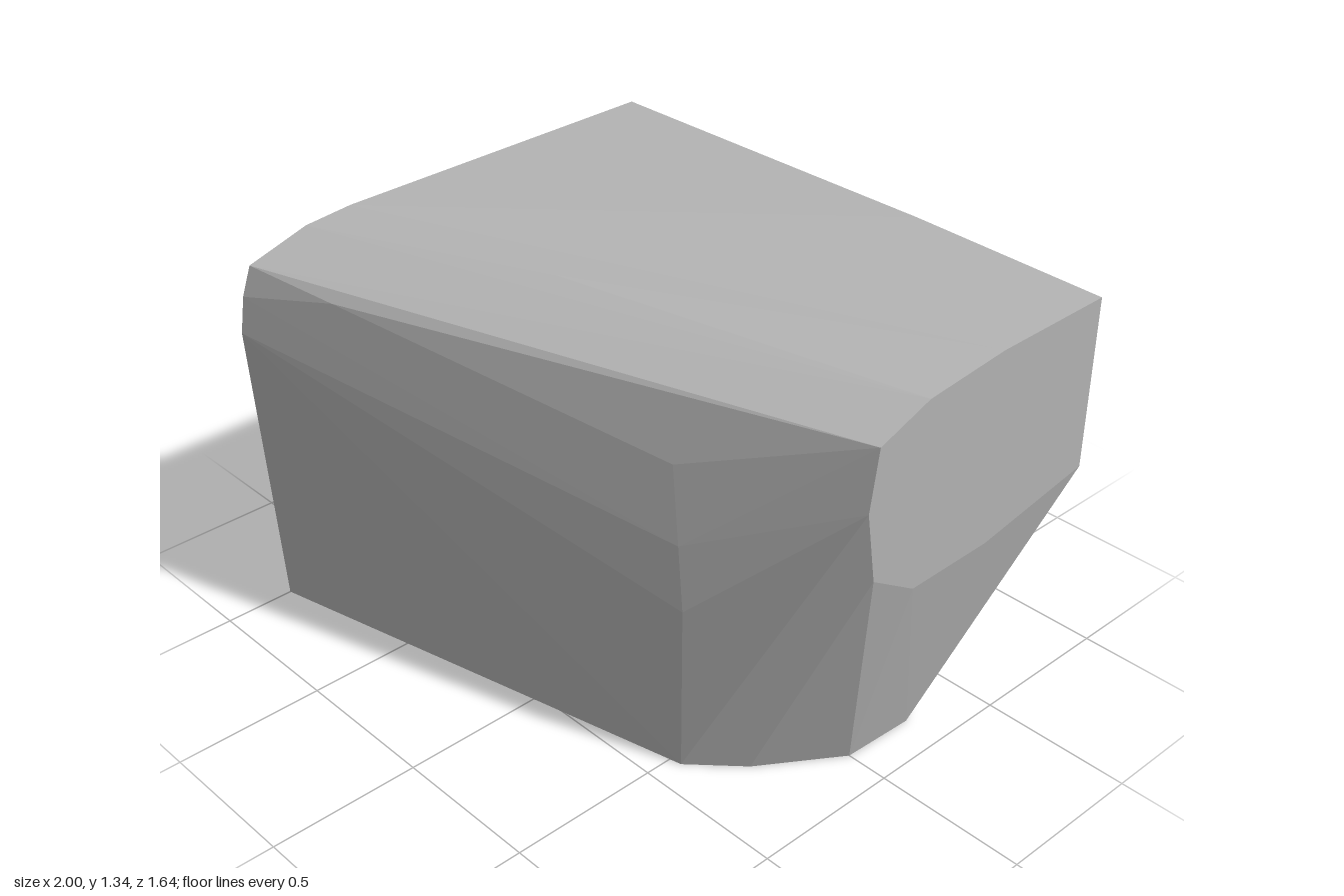
import * as THREE from 'three';
import { ConvexGeometry } from 'three/addons/geometries/ConvexGeometry.js';

// A faceted rock block, cut flat on its base, back and both ends.
export function createModel() {
  const group = new THREE.Group();
  group.name = 'rockBlock';
  const stone = new THREE.MeshStandardMaterial({ color: 0xb4b4b4 });
  stone.name = 'stone grey';

  // Ground outline as [x, z]
  const base = [
    [-1, 0.76], [0.54, 0.4], [0.69, 0.255], [0.86, 0], [0.87, -0.25], [0.75, -0.39],
    [0.61, -0.585], [0.38, -0.645], [0.11, -0.62], [-0.02, -0.53], [-1, 0.23],
  ].map(([x, z]) => [x, 0, z]);

  // Tall end at x = -1 as [z, y]
  const tallEnd = [
    [0.82, 1.02], [0.8, 1.14], [0.765, 1.235], [0.55, 1.3], [0.38, 1.315],
    [-0.82, 1.325], [-0.82, 0.78],
  ].map(([z, y]) => [-1, y, z]);

  // Narrow end at x = 1 as [z, y]
  const narrowEnd = [
    [0.115, 0.78], [0.155, 1.02], [0.125, 1.22], [-0.07, 1.29], [-0.38, 1.32],
    [-0.82, 1.325], [-0.82, 0.75], [-0.38, 0.675], [-0.06, 0.67],
  ].map(([z, y]) => [1, y, z]);

  // Back wall at z = -0.82 as [x, y]
  const back = [[0.3, 1.335], [0.41, 0.453], [0.18, 0.48]].map(([x, y]) => [x, y, -0.82]);

  // Front ridge, front corner and top shoulder
  const ridges = [
    [-0.68, 1.2, 0.69], [0.43, 1.2, 0.32],
    [0.54, 0.57, 0.4], [0.51, 0.78, 0.39], [0.46, 1.02, 0.365],
    [-0.2, 1.312, 0.22], [0.7, 1.298, -0.08],
  ];

  const points = [...base, ...tallEnd, ...narrowEnd, ...back, ...ridges]
    .map((p) => new THREE.Vector3(...p));
  const rock = new THREE.Mesh(new ConvexGeometry(points), stone);
  rock.name = 'rock';
  group.add(rock);
  return group;
}
